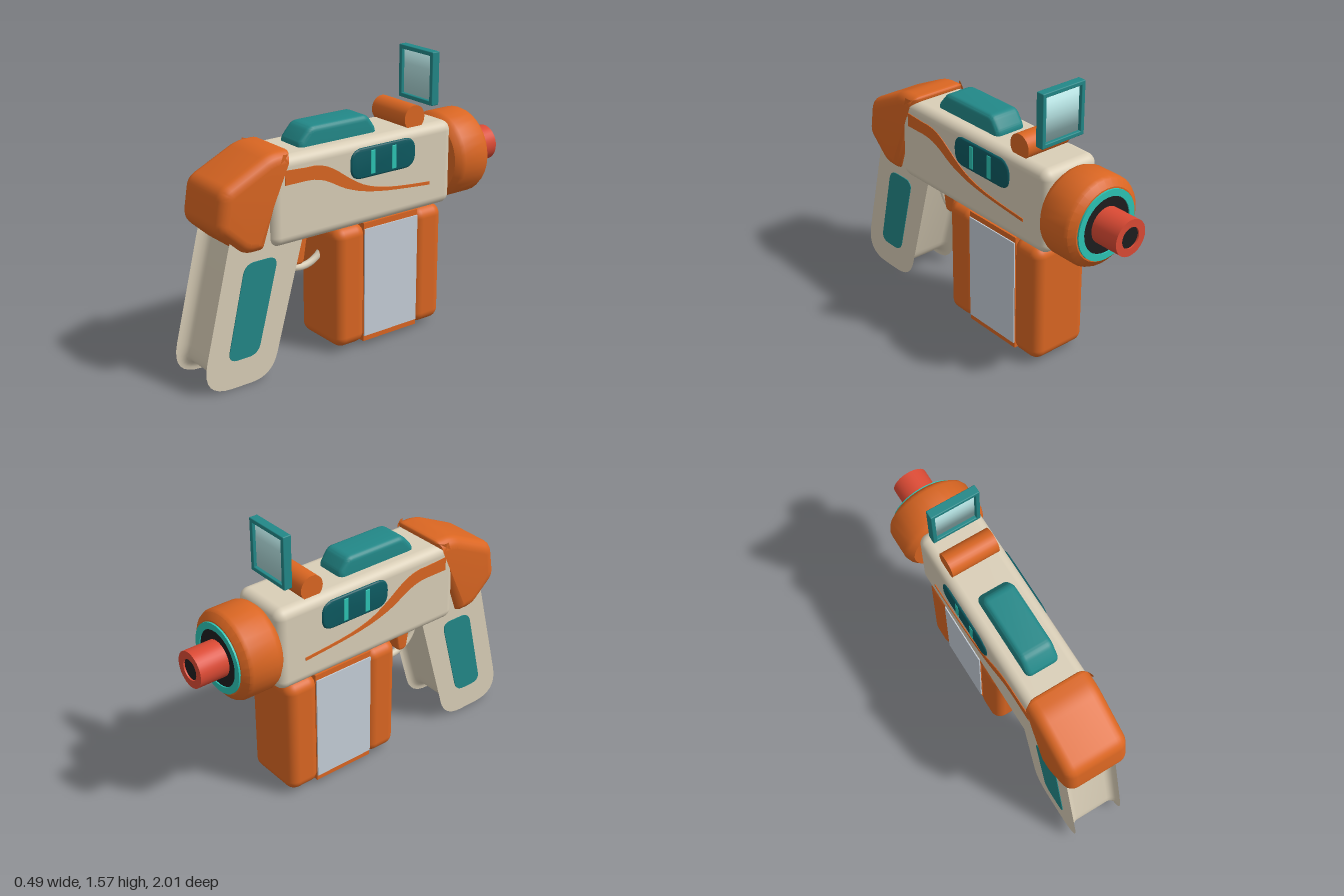
import * as THREE from 'three';
import { toCreasedNormals } from 'three/addons/utils/BufferGeometryUtils.js';
import { RoundedBoxGeometry } from 'three/addons/geometries/RoundedBoxGeometry.js';

const material = (name, color) => {
  const m = new THREE.MeshStandardMaterial({ color });
  m.name = name;
  return m;
};

// Side profile of [z, y, cornerRadius] points, with rounded corners
function sideShape(points) {
  const s = new THREE.Shape();
  const n = points.length;
  const v = points.map(([z, y]) => new THREE.Vector2(-z, y));
  points.forEach(([, , r = 0], i) => {
    const c = v[i];
    const toward = (q) => c.clone().add(q.clone().sub(c).setLength(Math.max(r, 0.0001)));
    const a = toward(v[(i + n - 1) % n]);
    const b = toward(v[(i + 1) % n]);
    if (i === 0) s.moveTo(a.x, a.y);
    else s.lineTo(a.x, a.y);
    if (r > 0) s.quadraticCurveTo(c.x, c.y, b.x, b.y);
  });
  s.closePath();
  return s;
}

// Extrude a side profile across x, centred; a negative bevel hollows the edge inwards
function extrudeAcross(shape, width, bevel = 0, depth = Math.abs(bevel)) {
  const g = new THREE.ExtrudeGeometry(shape, {
    depth: width - 2 * depth,
    curveSegments: 8,
    bevelEnabled: bevel !== 0,
    bevelSize: bevel,
    bevelOffset: bevel > 0 ? -bevel : 0,
    bevelThickness: depth,
    bevelSegments: 5,
  });
  g.translate(0, 0, -(width - 2 * depth) / 2);
  g.rotateY(Math.PI / 2);
  return toCreasedNormals(g, 0.6);
}

export function createModel() {
  const root = new THREE.Group();
  root.name = 'toyBlaster';
  const cream = material('cream', 0xd9ceb7);
  const orange = material('orange', 0xda6622);
  const teal = material('teal', 0x228888);
  const darkTeal = material('darkTeal', 0x0d5a61);
  const aqua = material('aqua', 0x2cc4b4);
  const silver = material('silver', 0xc5ced8);
  const red = material('red', 0xdb4a34);
  const black = material('black', 0x1d1d1f);
  const glass = material('glass', 0xb2dede);

  const add = (name, geometry, mat, x = 0, y = 0, z = 0) => {
    const mesh = new THREE.Mesh(geometry, mat);
    mesh.name = name;
    mesh.position.set(x, y, z);
    root.add(mesh);
    return mesh;
  };
  const bothSides = (name, geometry, mat, x, y = 0, z = 0) => {
    add(name + 'Left', geometry, mat, x, y, z);
    add(name + 'Right', geometry, mat, -x, y, z);
  };

  // Main body and rear cap
  add('body', new RoundedBoxGeometry(0.36, 0.475, 1.2, 5, 0.055), cream, 0, 0.9475, 0.01);
  add('rearCap', extrudeAcross(sideShape([
    [0.475, 1.215, 0.03], [0.60, 1.215, 0.05], [0.895, 1.075, 0.05],
    [0.93, 0.865, 0.05], [0.765, 0.715, 0.05], [0.65, 0.715, 0.03],
  ]), 0.374, 0.06), orange);

  // Sweeping stripe on each side
  const stripe = new THREE.Shape();
  stripe.moveTo(-0.53, 1.04);
  stripe.lineTo(-0.40, 1.04);
  stripe.bezierCurveTo(-0.27, 1.04, -0.22, 0.97, -0.12, 0.935);
  stripe.bezierCurveTo(0.02, 0.88, 0.2, 0.87, 0.425, 0.85);
  stripe.lineTo(0.425, 0.868);
  stripe.bezierCurveTo(0.2, 0.885, 0.04, 0.895, -0.08, 0.97);
  stripe.bezierCurveTo(-0.2, 1.04, -0.25, 1.12, -0.40, 1.11);
  stripe.lineTo(-0.53, 1.118);
  stripe.closePath();
  bothSides('stripe', extrudeAcross(stripe, 0.006), orange, 0.181);

  // Side pods with two glowing bars
  const pod = sideShape([
    [0.12, 0.978, 0.075], [-0.318, 0.978, 0.075], [-0.318, 1.145, 0.075], [0.12, 1.145, 0.075],
  ]);
  bothSides('sidePod', extrudeAcross(pod, 0.03, 0.012), darkTeal, 0.174);
  for (const z of [-0.024, -0.166]) {
    bothSides('lightBar', new RoundedBoxGeometry(0.008, 0.13, 0.03, 2, 0.003), aqua, 0.188, 1.06, z);
  }

  // Top rail
  add('topRail', extrudeAcross(sideShape([
    [0.375, 1.15], [0.375, 1.205, 0.02], [0.305, 1.284, 0.03],
    [-0.07, 1.284, 0.03], [-0.125, 1.205, 0.02], [-0.125, 1.15],
  ]), 0.19, 0.03), teal);

  // Grip: flanged edges around a hollowed spine
  add('grip', extrudeAcross(sideShape([
    [0.83, 0.85], [0.855, 0.76], [1.04, 0.07, 0.17],
    [1.0, 0.0, 0.10], [0.61, 0.0, 0.13], [0.37, 0.85],
  ].filter((p, i) => i !== 2).map((p, i) => (i === 2 ? [1.045, 0, 0.19] : p))), 0.3, -0.06, 0.05), cream);
  const panel = sideShape([
    [0.76, 0.665, 0.06], [0.88, 0.152, 0.06], [0.695, 0.152, 0.06], [0.56, 0.665, 0.06],
  ]);
  bothSides('gripPanel', extrudeAcross(panel, 0.006), teal, 0.151);

  // Trigger and guard
  add('trigger', extrudeAcross(sideShape([
    [0.42, 0.74], [0.385, 0.527, 0.025], [0.325, 0.527, 0.025], [0.29, 0.74],
  ]), 0.1, 0.015), orange);
  const guard = new THREE.TorusGeometry(0.165, 0.02, 10, 32, Math.PI);
  guard.rotateZ(Math.PI).rotateY(Math.PI / 2);
  add('triggerGuard', guard, cream, 0, 0.656, 0.31);

  // Magazine: two rounded ends, a core and silver side plates
  for (const [name, z] of [['magazineRear', 0.1], ['magazineFront', -0.435]]) {
    add(name, new RoundedBoxGeometry(0.355, 0.69, 0.2, 5, 0.06), orange, 0, 0.37, z);
  }
  add('magazineCore', new THREE.BoxGeometry(0.334, 0.69, 0.37), orange, 0, 0.373, -0.168);
  bothSides('magazinePlate', new THREE.BoxGeometry(0.008, 0.625, 0.366), silver, 0.17, 0.373, -0.168);

  // Muzzle parts turned about the barrel axis, profile as [radius, distance forward]
  const turned = (name, profile, mat, z) => {
    const g = new THREE.LatheGeometry(profile.map(([r, d]) => new THREE.Vector2(r, d)), 32);
    add(name, toCreasedNormals(g.rotateX(-Math.PI / 2), 0.5), mat, 0, 0.945, z);
  };
  turned('muzzleCollar', [
    [0, 0], [0.21, 0], [0.235, 0.025], [0.245, 0.05], [0.245, 0.2], [0.235, 0.22], [0.2, 0.245], [0, 0.245],
  ], orange, -0.585);
  turned('muzzleRing', [[0.14, 0], [0.192, 0], [0.192, 0.012], [0.155, 0.012], [0.155, 0]], aqua, -0.828);
  turned('muzzleFace', [[0.156, 0], [0.156, 0.005], [0, 0.005]], black, -0.828);
  turned('barrel', [[0.1, 0], [0.1, 0.17], [0.058, 0.17], [0.058, 0.13]], red, -0.83);
  turned('bore', [[0.058, 0], [0.058, 0.006], [0, 0.006]], black, -0.985);

  // Sight: roller mount, square frame and glass
  add('sightMount', new THREE.CylinderGeometry(0.069, 0.069, 0.28, 28).rotateZ(Math.PI / 2),
    orange, 0, 1.231, -0.346);
  const [sightY, sightZ] = [1.4225, -0.49];
  for (const s of [-1, 1]) {
    add('sightFrameBar', new RoundedBoxGeometry(0.28, 0.024, 0.05, 2, 0.005), teal, 0, sightY + s * 0.1355, sightZ);
    add('sightFramePost', new RoundedBoxGeometry(0.024, 0.295, 0.05, 2, 0.005), teal, s * 0.128, sightY, sightZ);
  }
  const pane = new THREE.BoxGeometry(0.24, 0.255, 0.012, 1, 6, 1);
  const { position, normal } = pane.attributes;
  for (let i = 0; i < position.count; i++) {
    // Soft bulge of the lens
    const n = new THREE.Vector3(0, position.getY(i) / 0.13, Math.sign(position.getZ(i))).normalize();
    normal.setXYZ(i, n.x, n.y, n.z);
  }
  add('sightGlass', pane, glass, 0, sightY, sightZ);

  return root;
}
